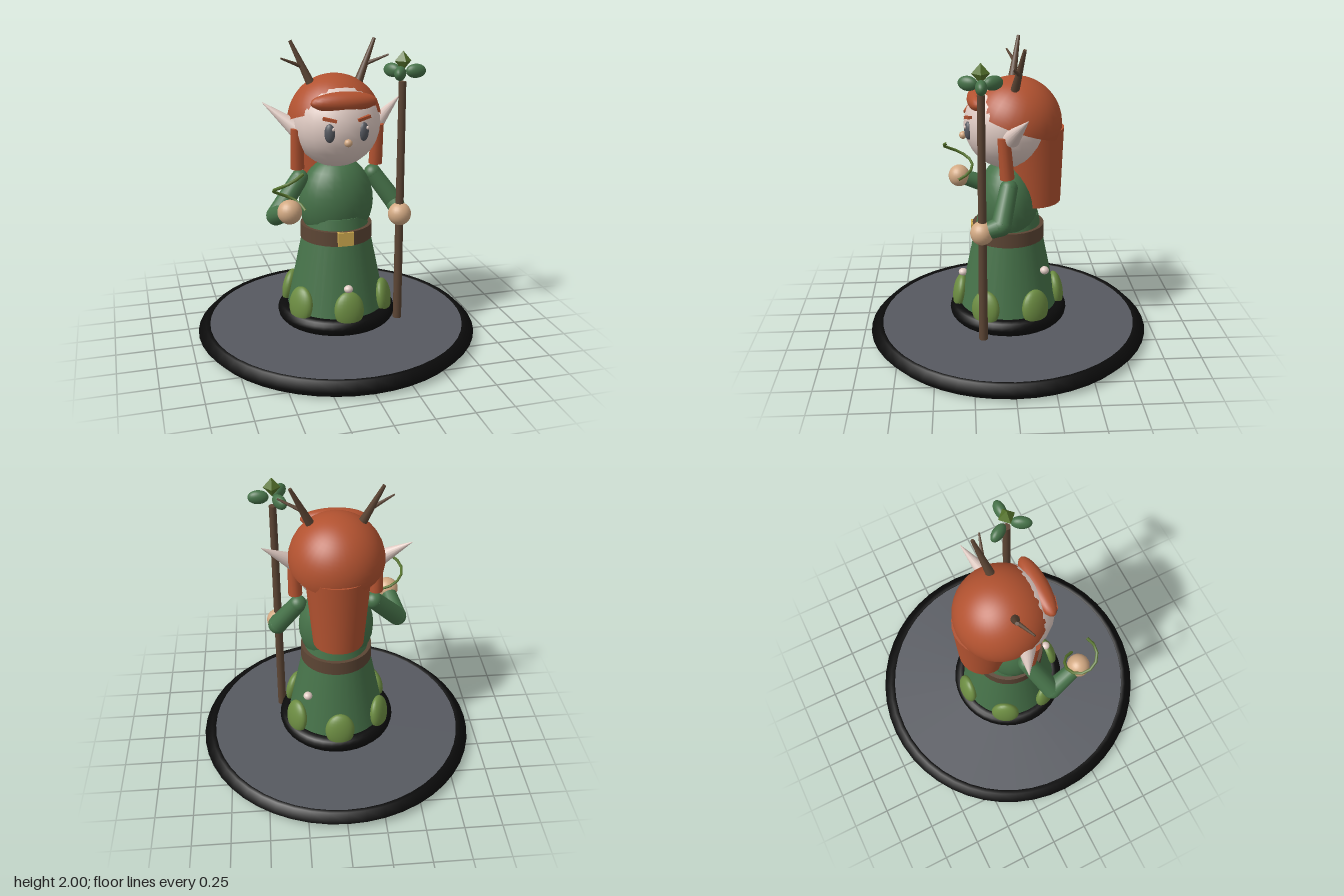
import * as THREE from 'three';

const mat = (name, color, side = THREE.FrontSide) => {
  const m = new THREE.MeshStandardMaterial({ color, side });
  m.name = name;
  return m;
};
const V = (x, y, z) => new THREE.Vector3(x, y, z);

export function createModel() {
  const skin = mat('pale skin', 0xe0cbc3);
  const tan = mat('tan skin', 0xd2a983);
  const red = mat('auburn hair', 0xb25230, THREE.DoubleSide);
  const green = mat('dress green', 0x467249);
  const moss = mat('moss green', 0x6c8c42);
  const vine = mat('vine green', 0x56742c);
  const brown = mat('brown', 0x5c4534);
  const gold = mat('gold', 0xd2ad50);
  const black = mat('black', 0x0b0b0b);
  const grey = mat('slate grey', 0x565960);

  const group = new THREE.Group();
  const add = (name, geo, material, pos = [0, 0, 0], rot = [0, 0, 0], parent = group) => {
    const m = new THREE.Mesh(geo, material);
    m.name = name;
    m.position.set(...pos);
    m.rotation.set(...rot);
    parent.add(m);
    return m;
  };
  // ellipsoid from three radii
  const ball = (name, [rx, ry, rz], material, pos, rot) =>
    add(name, new THREE.SphereGeometry(1, 24, 16).scale(rx, ry, rz), material, pos, rot);
  // tapered rod between two points
  const rod = (name, a, b, ra, rb, material, sides = 16) => {
    const d = b.clone().sub(a);
    const m = add(name, new THREE.CylinderGeometry(rb, ra, d.length(), sides), material);
    m.position.copy(a).addScaledVector(d, 0.5);
    m.quaternion.setFromUnitVectors(V(0, 1, 0), d.normalize());
    return m;
  };

  // display base with bevelled rim
  add('baseDisc', new THREE.CylinderGeometry(0.905, 0.905, 0.094, 48), grey, [0, 0.047, 0]);
  const rim = [[0.905, 0.0], [0.95, 0.05], [0.9, 0.1], [0.875, 0.1], [0.867, 0.09]];
  add('baseRim', new THREE.LatheGeometry(rim.map(p => new THREE.Vector2(...p)), 48), black);

  // dress, hem and belt
  add('hem', new THREE.TorusGeometry(0.346, 0.055, 14, 40).rotateX(Math.PI / 2), black, [0, 0.175, 0]);
  add('skirt', new THREE.CylinderGeometry(0.2, 0.35, 0.73, 32), green, [0, 0.505, 0]);
  ball('bodice', [0.25, 0.3, 0.2], green, [0, 0.95, 0]);
  add('belt', new THREE.CylinderGeometry(0.239, 0.241, 0.096, 32), brown, [0, 0.75, 0]);
  add('buckle', new THREE.BoxGeometry(0.104, 0.092, 0.03), gold, [0, 0.752, 0.235]);

  // leaves and berries on the skirt
  for (let i = 0; i < 6; i++) {
    const a = (i * Math.PI) / 3;
    const leaf = ball('hemLeaf', [0.1, 0.125, 0.05], moss,
      [Math.sin(a) * 0.33, 0.288, Math.cos(a) * 0.33]);
    leaf.rotation.set(-0.15, a, 0, 'YXZ');
  }
  ball('frontBerry', [0.03, 0.025, 0.03], skin, [0, 0.43, 0.31]);
  ball('backBerry', [0.03, 0.027, 0.03], skin, [0.21, 0.525, -0.23]);

  // head and face
  ball('head', [0.288, 0.288, 0.288], skin, [0, 1.477, 0]);
  ball('nose', [0.026, 0.025, 0.025], tan, [0, 1.405, 0.293]);
  for (const s of [-1, 1]) {
    ball('eye', [0.034, 0.06, 0.025], grey, [s * 0.11, 1.465, 0.258], [0, s * 0.35, 0]);
    ball('eyeGlint', [0.009, 0.011, 0.008], skin, [s * 0.11 + 0.018, 1.492, 0.279]);
    add('eyebrow', new THREE.BoxGeometry(0.09, 0.019, 0.025), red,
      [s * 0.11, 1.55, 0.26], [0, s * 0.3, s * 0.2]);
    rod('ear', V(s * 0.265, 1.45, -0.005), V(s * 0.466, 1.612, -0.095), 0.058, 0.002, skin);

    // antler with one outer tine
    rod('antler', V(s * 0.15, 1.71, -0.03), V(s * 0.28, 2.0, -0.085), 0.03, 0.011, brown, 10);
    rod('antlerTine', V(s * 0.215, 1.84, -0.055), V(s * 0.355, 1.9, -0.01), 0.014, 0.006, brown, 8);

    // side lock of hair
    rod('sideLock', V(s * 0.265, 1.19, 0.02), V(s * 0.27, 1.46, 0.042), 0.046, 0.04, red, 12);
  }

  // hair: tilted cap, fringe and long back hair
  add('hairCap', new THREE.SphereGeometry(0.308, 32, 16, 0, Math.PI * 2, 0, Math.PI * 0.485),
    red, [0, 1.48, -0.042], [-0.34, 0, 0]);
  ball('fringe', [0.216, 0.065, 0.07], red, [0, 1.645, 0.195], [0.15, 0, 0]);
  add('longHair', new THREE.CylinderGeometry(0.21, 0.165, 0.5, 24), red, [0, 1.197, -0.17], [0.06, 0, 0]);

  // arms bent at the elbow
  const arm = (side, shoulder, elbow, hand) => {
    rod(side + 'UpperArm', shoulder, elbow, 0.058, 0.064, green);
    ball(side + 'Elbow', [0.064, 0.064, 0.064], green, elbow.toArray());
    ball(side + 'Shoulder', [0.058, 0.058, 0.058], green, shoulder.toArray());
    rod(side + 'Forearm', elbow, hand, 0.064, 0.05, green);
    ball(side + 'Hand', [0.077, 0.077, 0.075], tan, hand.toArray());
  };
  arm('left', V(0.25, 1.12, 0.01), V(0.39, 0.92, 0.065), V(0.385, 0.875, 0.185));
  arm('right', V(-0.25, 1.12, 0.01), V(-0.43, 0.91, 0.11), V(-0.385, 1.0, 0.325));

  // vine curling up around the right hand
  const coil = [];
  for (let i = 0; i <= 7; i++) {
    const a = (i / 7) * 5.5;
    coil.push(V(-0.385 + 0.1 * Math.cos(a), 1 + 0.26 * (i / 7), 0.33 - 0.1 * Math.sin(a)));
  }
  add('vine', new THREE.TubeGeometry(new THREE.CatmullRomCurve3(coil), 10, 0.01, 6), vine);

  // staff topped with three leaves and a bud
  const [sx, sz] = [0.385, 0.183];
  rod('staff', V(sx, 0.125, sz), V(sx, 1.755, sz), 0.029, 0.024, brown);
  for (let i = 0; i < 3; i++) {
    const a = (i * Math.PI * 2) / 3;
    ball('staffLeaf', [0.066, 0.045, 0.036], green,
      [sx + Math.cos(a) * 0.088, 1.818, sz - Math.sin(a) * 0.088], [0, a, 0]);
  }
  const bud = add('staffBud', new THREE.OctahedronGeometry(0.06), vine, [sx, 1.885, sz]);
  bud.scale.set(0.92, 1.05, 0.92);

  return group;
}
